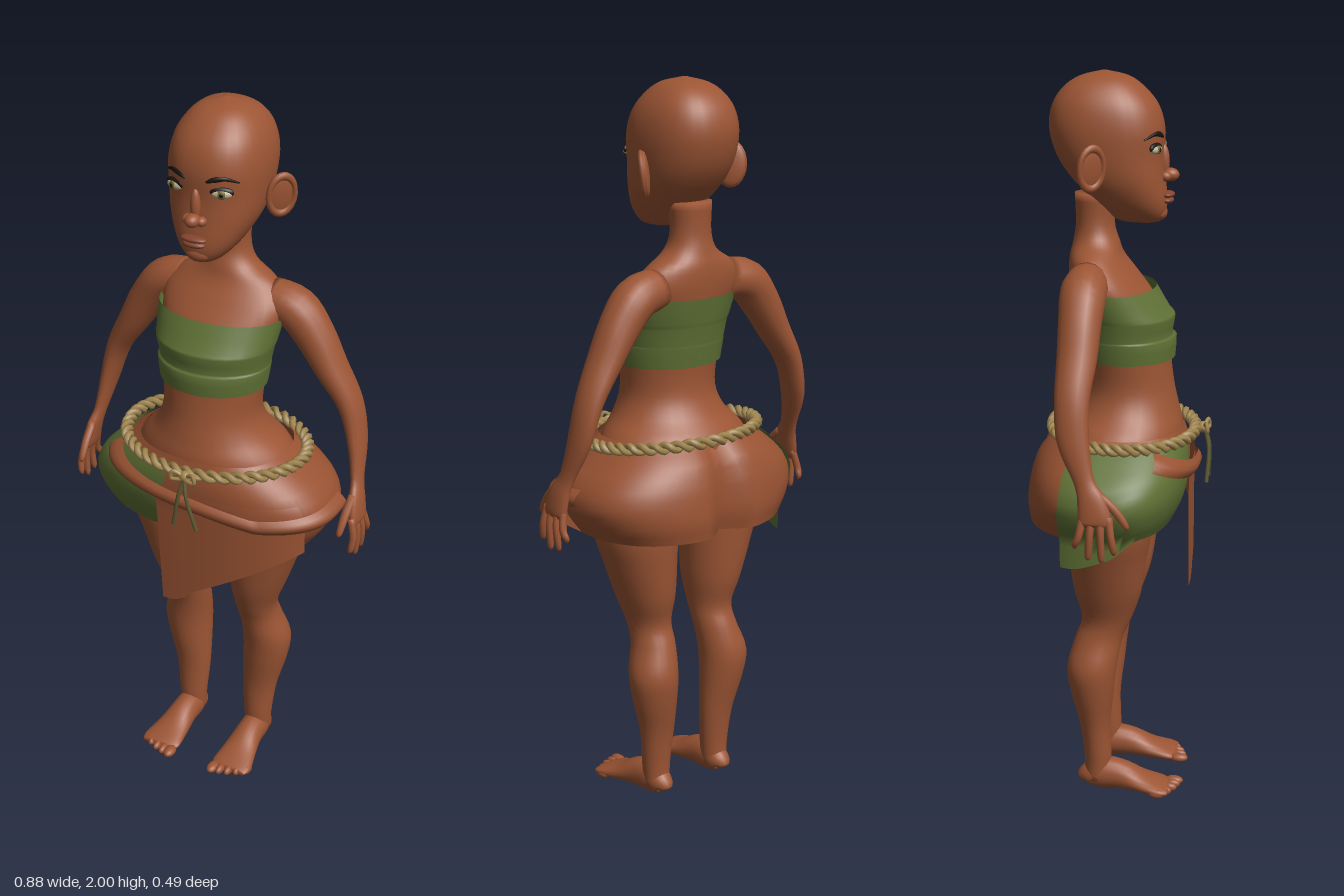
import * as THREE from 'three';
import { ParametricGeometry } from 'three/addons/geometries/ParametricGeometry.js';

const V3 = (x, y, z) => new THREE.Vector3(x, y, z);
const UP = V3(0, 1, 0), BACK = V3(0, 0, -1);

function material(name, color, side = THREE.FrontSide) {
  const m = new THREE.MeshStandardMaterial({ color, side });
  m.name = name;
  return m;
}

// Smooth loft through sections [x, y, z, radiusA, radiusB].
// fixed: constant ring normal; pow < 1 makes rings squarer; open: no end caps.
function loft(sections, { n = 20, steps = 4, v = BACK, fixed = null, pow = 1, open = false } = {}) {
  const path = new THREE.CatmullRomCurve3(sections.map(s => V3(s[0], s[1], s[2])), false, 'catmullrom');
  const radii = new THREE.CatmullRomCurve3(sections.map(s => V3(s[3], s[4], 0)), false, 'catmullrom');
  const rows = (sections.length - 1) * steps, pos = [], idx = [];
  const sp = a => Math.sign(a) * Math.abs(a) ** pow;
  for (let i = 0; i <= rows; i++) {
    const c = path.getPoint(i / rows), r = radii.getPoint(i / rows);
    const t = fixed || path.getTangent(i / rows);
    const a = v.clone().cross(t).normalize(), b = t.clone().cross(a);
    for (let j = 0; j < n; j++) {
      const th = j / n * Math.PI * 2;
      const p = c.clone().addScaledVector(a, sp(Math.cos(th)) * r.x).addScaledVector(b, sp(Math.sin(th)) * r.y);
      pos.push(p.x, Math.max(p.y, 0), p.z);
      if (i < rows) {
        const k = i * n + j, l = i * n + (j + 1) % n;
        idx.push(k, l, k + n, l, l + n, k + n);
      }
    }
  }
  if (!open) {
    for (const [row, p] of [[0, path.getPoint(0)], [rows, path.getPoint(1)]]) {
      const centre = pos.length / 3;
      pos.push(p.x, p.y, p.z);
      for (let j = 0; j < n; j++) {
        const k = row * n + j, l = row * n + (j + 1) % n;
        row ? idx.push(centre, k, l) : idx.push(centre, l, k);
      }
    }
  }
  const g = new THREE.BufferGeometry();
  g.setAttribute('position', new THREE.Float32BufferAttribute(pos, 3));
  g.setIndex(idx);
  g.computeVertexNormals();
  return g;
}

// Horizontal section from height, half width, front z and back z
const sec = (y, rx, zf, zb) => [0, y, (zf + zb) / 2, rx, (zf - zb) / 2];

// Hip surface: (half width, front z, back z) every 0.05 from y = 0.80
const hipCurve = new THREE.CatmullRomCurve3([
  V3(0.30, 0.14, 0.245), V3(0.335, 0.165, 0.25), V3(0.35, 0.18, 0.245),
  V3(0.33, 0.185, 0.235), V3(0.275, 0.182, 0.215), V3(0.21, 0.168, 0.17)], false, 'catmullrom');
function hip(deg, y, off, target) {
  const th = deg * Math.PI / 180, f = THREE.MathUtils.clamp((y - 0.8) / 0.25, 0, 1);
  const p = hipCurve.getPoint(f), c = Math.cos(th), s = Math.sin(th);
  const x = Math.sign(c) * Math.abs(c) ** 0.82 * (p.x + off);
  let z = Math.sign(s) * Math.abs(s) ** 0.82 * ((s > 0 ? p.y : p.z) + off);
  if (s < 0) z += 0.055 * Math.exp(-((x / 0.045) ** 2)) * (1 - 0.6 * f);
  return target.set(x, y, z);
}

export function createModel() {
  const model = new THREE.Group();
  const skin = material('skin', 0x9c5534);
  const hide = material('brown hide', 0x985232, THREE.DoubleSide);
  const green = material('green cloth', 0x5f7135, THREE.DoubleSide);
  const rope = material('rope', 0xa0854e);
  const cord = material('dark cord', 0x5e5a34);
  const lip = material('lips', 0x85452f);
  const dark = material('brow black', 0x1b1411);
  const white = material('eye white', 0xc2b394);
  const iris = material('iris', 0x6f6a2c);

  const add = (name, geo, mat, parent = model) => {
    const m = new THREE.Mesh(geo, mat);
    m.name = name;
    parent.add(m);
    return m;
  };
  const ball = (name, mat, p, s, parent = model) => {
    const m = add(name, new THREE.SphereGeometry(1, 20, 14), mat, parent);
    m.position.set(...p);
    m.scale.set(...s);
    return m;
  };
  const tube = (name, pts, r, mat) =>
    add(name, new THREE.TubeGeometry(new THREE.CatmullRomCurve3(pts.map(p => V3(...p))), 16, r, 6), mat);

  // Head, neck and torso
  add('head', loft([
    sec(1.603, 0.02, 0.09, 0.03), sec(1.61, 0.042, 0.108, -0.01), sec(1.635, 0.068, 0.12, -0.04),
    sec(1.67, 0.092, 0.122, -0.08), sec(1.72, 0.115, 0.117, -0.13), sec(1.78, 0.127, 0.113, -0.17),
    sec(1.85, 0.131, 0.115, -0.19), sec(1.91, 0.121, 0.098, -0.183), sec(1.955, 0.096, 0.062, -0.155),
    sec(1.985, 0.06, 0.02, -0.11), sec(2.0, 0.005, -0.04, -0.05)],
    { n: 32, fixed: UP, pow: 0.86 }), skin);
  add('torso', loft([
    sec(0.95, 0.26, 0.165, -0.17), sec(1.04, 0.215, 0.17, -0.17), sec(1.10, 0.162, 0.158, -0.125),
    sec(1.16, 0.138, 0.145, -0.10), sec(1.24, 0.143, 0.135, -0.10), sec(1.32, 0.157, 0.13, -0.115),
    sec(1.40, 0.168, 0.09, -0.13), sec(1.46, 0.175, 0.045, -0.138), sec(1.51, 0.14, 0.008, -0.138),
    sec(1.55, 0.078, -0.005, -0.13), sec(1.60, 0.058, -0.018, -0.122), sec(1.68, 0.06, -0.01, -0.125)],
    { n: 32, fixed: UP }), skin);

  // Hips, open underneath
  add('hips', new ParametricGeometry((u, v, t) => hip(u * 360, 0.8 + v * 0.25, 0, t), 64, 10), hide);

  // Face
  ball('noseBridge', skin, [0, 1.765, 0.112], [0.014, 0.045, 0.016]);
  ball('noseTip', skin, [0, 1.73, 0.13], [0.02, 0.018, 0.024]);
  ball('upperLip', lip, [0, 1.678, 0.124], [0.037, 0.009, 0.018]);
  ball('lowerLip', lip, [0, 1.663, 0.122], [0.032, 0.01, 0.018]);
  ball('chin', skin, [0, 1.63, 0.103], [0.035, 0.022, 0.02]);

  for (const s of [1, -1]) {
    const side = s > 0 ? 'left' : 'right';
    ball(side + 'Nostril', skin, [s * 0.02, 1.727, 0.119], [0.014, 0.013, 0.016]);
    const eye = new THREE.Group();
    eye.name = side + 'Eye';
    eye.position.set(s * 0.067, 1.803, 0.099);
    eye.rotation.y = s * 0.36;
    model.add(eye);
    ball('lashLine', dark, [0, 0.004, -0.001], [0.031, 0.014, 0.009], eye);
    ball('eyeball', white, [0, 0, 0], [0.027, 0.0125, 0.012], eye);
    ball('iris', iris, [0, 0, 0.008], [0.012, 0.0115, 0.005], eye);
    ball('pupil', dark, [0, 0, 0.011], [0.006, 0.006, 0.003], eye);
    add(side + 'Brow', loft([
      [s * 0.03, 1.832, 0.113, 0.003, 0.003], [s * 0.05, 1.84, 0.109, 0.007, 0.004],
      [s * 0.075, 1.843, 0.097, 0.006, 0.004], [s * 0.103, 1.83, 0.072, 0.002, 0.002]], { n: 8 }), dark);

    // Ear with raised rim
    const ear = new THREE.Group();
    ear.name = side + 'Ear';
    ear.position.set(s * 0.15, 1.762, -0.062);
    ear.rotation.set(0, -s * 0.7, -s * 0.1);
    model.add(ear);
    ball('earBowl', skin, [0, 0, 0], [0.012, 0.06, 0.042], ear);
    const rim = add('earRim', new THREE.TorusGeometry(0.036, 0.008, 8, 24).rotateY(Math.PI / 2), skin, ear);
    rim.scale.y = 1.45;
    rim.position.x = s * 0.006;

    // Arm, palm and fingers
    add(side + 'Arm', loft([
      [s * 0.12, 1.462, -0.072, 0.055, 0.055], [s * 0.195, 1.443, -0.075, 0.058, 0.062],
      [s * 0.25, 1.38, -0.076, 0.054, 0.057], [s * 0.302, 1.295, -0.077, 0.043, 0.053],
      [s * 0.358, 1.20, -0.082, 0.032, 0.046], [s * 0.386, 1.10, -0.075, 0.024, 0.042],
      [s * 0.404, 1.0, -0.045, 0.016, 0.027], [s * 0.415, 0.95, -0.025, 0.017, 0.037],
      [s * 0.423, 0.90, -0.015, 0.015, 0.043], [s * 0.425, 0.885, -0.014, 0.008, 0.036]],
      { n: 16 }), skin);
    [[-0.046, -0.066, 0.825], [-0.024, -0.032, 0.795], [-0.001, 0.002, 0.79], [0.02, 0.034, 0.81]]
      .forEach(([z0, z1, y1], i) => add(side + 'Finger' + (i + 1), loft([
        [s * 0.42, 0.91, z0, 0.01, 0.011], [s * 0.431, 0.86, (z0 + z1) / 2, 0.01, 0.01],
        [s * 0.428, y1 + 0.012, z1, 0.008, 0.009], [s * 0.424, y1, z1, 0.002, 0.002]], { n: 8 }), skin));
    add(side + 'Thumb', loft([
      [s * 0.41, 0.965, -0.005, 0.012, 0.012], [s * 0.408, 0.925, 0.035, 0.012, 0.012],
      [s * 0.406, 0.885, 0.062, 0.009, 0.009], [s * 0.405, 0.873, 0.067, 0.002, 0.002]], { n: 8 }), skin);

    // Leg, foot and toes
    add(side + 'Leg', loft([
      [s * 0.11, 0.03, -0.055, 0.036, 0.036], [s * 0.11, 0.10, -0.053, 0.042, 0.038],
      [s * 0.112, 0.20, -0.06, 0.052, 0.043], [s * 0.125, 0.30, -0.066, 0.065, 0.06],
      [s * 0.13, 0.38, -0.066, 0.07, 0.069], [s * 0.116, 0.46, -0.048, 0.06, 0.066],
      [s * 0.114, 0.52, -0.026, 0.06, 0.069], [s * 0.123, 0.60, -0.022, 0.08, 0.092],
      [s * 0.138, 0.70, -0.02, 0.1, 0.106], [s * 0.15, 0.80, -0.015, 0.118, 0.118],
      [s * 0.15, 0.95, -0.01, 0.12, 0.12]], { n: 24, fixed: UP }), skin);
    add(side + 'Foot', loft([
      [s * 0.11, 0.02, -0.095, 0.012, 0.012], [s * 0.11, 0.034, -0.085, 0.03, 0.03],
      [s * 0.11, 0.045, -0.045, 0.038, 0.046], [s * 0.111, 0.043, 0.01, 0.041, 0.042],
      [s * 0.114, 0.027, 0.07, 0.051, 0.028], [s * 0.118, 0.017, 0.125, 0.06, 0.017],
      [s * 0.118, 0.013, 0.15, 0.052, 0.01]], { v: UP }), skin);
    for (let i = 0; i < 5; i++)
      ball(side + 'Toe' + (i + 1), skin, [s * (0.073 + i * 0.0235), 0.013, 0.16 - i * i * 0.0025],
        [i ? 0.011 : 0.016, 0.013, i ? 0.022 : 0.026]);
  }

  // Chest wrap with a stepped fold
  add('chestWrap', loft([
    sec(1.24, 0.15, 0.147, -0.112), sec(1.295, 0.158, 0.15, -0.12), sec(1.302, 0.156, 0.138, -0.12),
    sec(1.35, 0.166, 0.146, -0.128), sec(1.365, 0.17, 0.134, -0.132), sec(1.43, 0.18, 0.094, -0.143)],
    { n: 32, steps: 2, fixed: UP, open: true }), green);

  // Hip cloth on the right side, with a hanging rear corner
  add('hipCloth', new ParametricGeometry((u, v, t) => {
    const deg = 98 + u * 108;
    const low = 0.805 - 0.085 * THREE.MathUtils.smoothstep(deg, 150, 200);
    return hip(deg, THREE.MathUtils.lerp(low, 1.035, v), 0.009, t);
  }, 28, 10), green);

  // Slanted front flap
  add('frontFlap', new ParametricGeometry((u, v, t) => {
    const deg = 28 + u * 72;
    hip(deg, 0.93, 0.012, t);
    const low = 0.6 + Math.max(0, t.x + 0.05) * 0.6;
    const y = THREE.MathUtils.lerp(low, 0.96, v);
    hip(deg, Math.max(y, 0.92), 0.014, t).setY(y);
    if (t.x < 0) t.x += 0.02 * (1 - v);
    return t;
  }, 24, 10), hide);

  // Folded sash, dipping at the front
  add('sash', new ParametricGeometry((u, v, t) => {
    const deg = 150 - u * 155;
    const mid = deg > 60 ? 0.905 + (deg - 60) / 90 * 0.105 : 0.905 + (60 - deg) / 65 * 0.02;
    const y = mid + (v - 0.5) * 0.045;
    return hip(deg, y, 0.022 + 0.012 * Math.sin(v * Math.PI), t);
  }, 40, 4), hide);

  // Two-strand rope belt
  class Strand extends THREE.Curve {
    constructor(phase) { super(); this.phase = phase; }
    getPoint(u, t = V3(0, 0, 0)) {
      const a = u * Math.PI * 2, w = a * 22 + this.phase, s = Math.sin(a), k = 0.009 * Math.cos(w);
      return t.set((0.262 + k) * Math.cos(a), 1.043 - 0.008 * s + 0.009 * Math.sin(w), ((s > 0 ? 0.203 : 0.185) + k) * s);
    }
  }
  for (const i of [0, 1])
    add('ropeStrand' + (i + 1), new THREE.TubeGeometry(new Strand(i * Math.PI), 300, 0.0095, 6, true), rope);

  // Knot, bow loops and hanging cord ends
  ball('knot', rope, [0.025, 1.035, 0.222], [0.018, 0.016, 0.016]);
  for (const s of [1, -1]) {
    tube('bowLoop', [[0.025, 1.035, 0.225], [0.025 + s * 0.03, 1.05, 0.235], [0.025 + s * 0.035, 1.03, 0.238], [0.025, 1.03, 0.23]], 0.006, rope);
    tube('cordEnd', [[0.025, 1.035, 0.228], [0.025 + s * 0.012, 0.98, 0.24], [0.03 + s * 0.035, 0.885, 0.236]], 0.006, cord);
  }
  return model;
}
